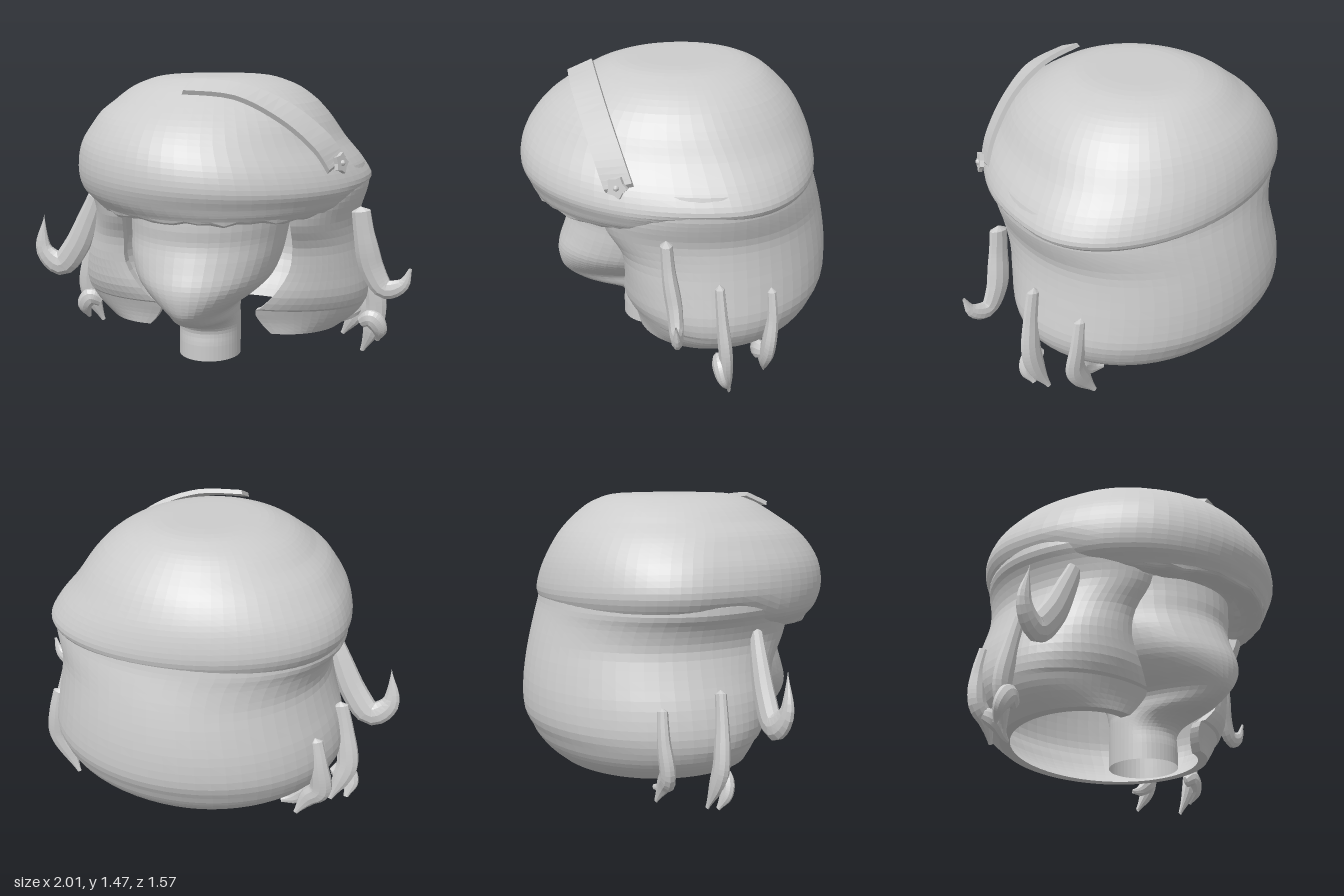
import * as THREE from 'three';

const grey = new THREE.MeshStandardMaterial({ color: 0xcccccc, side: THREE.DoubleSide });
grey.name = 'clay grey';

// Facet a geometry and wrap it in a named mesh
function part(name, geometry) {
  const g = geometry.index ? geometry.toNonIndexed() : geometry;
  g.computeVertexNormals();
  const mesh = new THREE.Mesh(g, grey);
  mesh.name = name;
  return mesh;
}

// Skin closed rings, listed from top to bottom
function loft(rings) {
  const pos = [], idx = [], n = rings[0].length;
  rings.forEach(r => r.forEach(p => pos.push(...p)));
  for (let i = 0; i < rings.length - 1; i++) {
    for (let j = 0; j < n; j++) {
      const k = (j + 1) % n;
      const a = i * n + j, b = i * n + k, c = a + n, d = b + n;
      idx.push(a, b, c, b, d, c);
    }
  }
  const g = new THREE.BufferGeometry();
  g.setAttribute('position', new THREE.Float32BufferAttribute(pos, 3));
  g.setIndex(idx);
  return g;
}

// Smoothly resample every column of a table of section values
function resample(rows, count) {
  const curves = rows[0].map((_, k) =>
    new THREE.SplineCurve(rows.map((r, i) => new THREE.Vector2(i, r[k]))));
  return Array.from({ length: count + 1 }, (_, i) => curves.map(c => c.getPoint(i / count).y));
}

// Egg-shaped ring with separate front and back depth; tuck draws in the sides and back
function eggRing([y, cx, hw, cz, zf, zb, tuck = 0], n, adjust = () => 0) {
  return Array.from({ length: n }, (_, j) => {
    const t = j / n * Math.PI * 2, s = Math.sin(t);
    const k = 1 - tuck * (1 - THREE.MathUtils.smoothstep(s, 0.1, 0.5));
    const x = cx + hw * Math.cos(t) * k;
    return [x, y + adjust(x, y, s), cz + s * k * (s > 0 ? zf - cz : cz - zb)];
  });
}

// One C-shaped hair section: outer wall, then inner wall back again
function curtainRing([y, cx, hw, zb, zf, xi], thickness, shrink = 0) {
  const z0 = -0.1, n = 64;
  const wall = off => Array.from({ length: n + 1 }, (_, j) => {
    const t = Math.PI / 2 + j / n * Math.PI * 2; // left tip, round the back, right tip
    const c = Math.cos(t), s = Math.sin(t), front = s > 0;
    const w = hw - off;
    const side = j < n / 2 ? -1 : 1;
    const x = front ? side * (xi + (w - xi) * Math.abs(c)) : w * c;
    const z = front ? z0 + (zf - off - z0) * s : z0 + (z0 - zb - off) * s;
    return [cx + x, y - 0.02 + 0.05 * (z + 0.4) * (y < 0.35 ? 1 : 0.4), z];
  });
  return [...wall(shrink), ...wall(thickness - shrink).reverse()];
}

// Tapered tube, slightly flattened front to back
function horn(name, points, radii) {
  const curve = new THREE.CatmullRomCurve3(points.map(p => new THREE.Vector3(...p)));
  const steps = 28, sides = 10;
  const g = new THREE.TubeGeometry(curve, steps, 1, sides);
  const taper = new THREE.SplineCurve(radii.map((r, i) => new THREE.Vector2(i, r)));
  const pos = g.attributes.position;
  for (let i = 0; i <= steps; i++) {
    const c = curve.getPointAt(i / steps);
    const r = i === 0 ? 0 : Math.max(0, taper.getPoint(i / steps).y);
    for (let j = 0; j <= sides; j++) {
      const v = i * (sides + 1) + j;
      pos.setXYZ(v, c.x + (pos.getX(v) - c.x) * r, c.y + (pos.getY(v) - c.y) * r,
        c.z + (pos.getZ(v) - c.z) * r * 0.6);
    }
  }
  return part(name, g);
}

export function createModel() {
  const model = new THREE.Group();
  model.name = 'hairBust';

  // Head and open-ended neck: y, centre x, half width, centre z, front, back
  const head = [
    [1.2, -0.02, 0.01, 0.1, 0.11, 0.09], [1.1, -0.02, 0.3, 0.1, 0.4, -0.2],
    [0.95, -0.02, 0.41, 0.1, 0.54, -0.35], [0.8, -0.02, 0.405, 0.1, 0.56, -0.38],
    [0.7, -0.025, 0.395, 0.12, 0.555, -0.36], [0.6, -0.03, 0.38, 0.14, 0.585, -0.3],
    [0.5, -0.03, 0.34, 0.16, 0.62, -0.22], [0.42, -0.03, 0.265, 0.16, 0.62, -0.14],
    [0.35, -0.03, 0.175, 0.14, 0.59, -0.09], [0.29, -0.03, 0.16, 0.12, 0.5, -0.07],
    [0.25, -0.03, 0.16, 0.11, 0.35, -0.06], [0.2, -0.03, 0.16, 0.11, 0.28, -0.06],
    [0.12, -0.03, 0.16, 0.11, 0.28, -0.06], [0.04, -0.03, 0.16, 0.11, 0.28, -0.06],
  ];
  model.add(part('headAndNeck', loft(resample(head, 52).map(r => eggRing(r, 48)))));

  // Crown of hair with an overhanging, ragged fringe; the last column is the tuck
  const crown = [
    [1.48, -0.03, 0, -0.02, -0.02, -0.02, 0], [1.478, -0.03, 0.24, -0.02, 0.25, -0.29, 0],
    [1.45, -0.03, 0.36, -0.03, 0.37, -0.4, 0], [1.4, -0.03, 0.46, -0.04, 0.47, -0.48, 0],
    [1.3, -0.03, 0.575, -0.06, 0.62, -0.58, 0], [1.2, -0.025, 0.65, -0.1, 0.715, -0.64, 0],
    [1.1, -0.01, 0.725, -0.13, 0.77, -0.675, 0], [1.0, 0, 0.76, -0.15, 0.784, -0.687, 0],
    [0.92, 0, 0.745, -0.15, 0.755, -0.69, 0.06], [0.87, 0.02, 0.695, -0.13, 0.73, -0.7, 0.07],
    [0.84, 0.02, 0.65, -0.1, 0.7, -0.7, 0.08], [0.845, 0.01, 0.58, -0.05, 0.6, -0.62, 0.08],
    [0.92, 0, 0.4, 0, 0.48, -0.4, 0],
  ];
  const lean = (x, y, s) => {
    const skew = y > 0.87 && y < 1.35 ? -0.06 * x * Math.sin((y - 0.87) / 0.48 * Math.PI) : 0;
    const ragged = y < 0.86 && s > 0.5 ? 0.012 * Math.sin(x * 41) * Math.sin(x * 17 + 1) : 0;
    return skew + ragged;
  };
  model.add(part('crownHair', loft(resample(crown, 48).map(r => eggRing(r, 72, lean)))));

  // Long hair flowing from the crown round the back, curling into two front locks:
  // y, centre x, half width, back, front, inner tip x
  const curtain = [
    [1.06, 0, 0.725, -0.67, 0.38, 0.42], [0.97, 0.005, 0.748, -0.685, 0.4, 0.42],
    [0.9, 0.02, 0.72, -0.705, 0.42, 0.42],
    [0.8, 0.02, 0.692, -0.735, 0.4, 0.42], [0.68, 0.01, 0.712, -0.763, 0.33, 0.43],
    [0.55, 0, 0.747, -0.78, 0.31, 0.42], [0.42, 0, 0.77, -0.775, 0.31, 0.34],
    [0.32, 0, 0.75, -0.725, 0.28, 0.25], [0.25, 0, 0.7, -0.675, 0.25, 0.27],
    [0.19, 0, 0.62, -0.61, 0.23, 0.32],
  ];
  const curtainRings = resample(curtain, 27).map(r => curtainRing(r, 0.05));
  curtainRings.push(curtainRing(curtain[curtain.length - 1], 0.05, 0.025));
  model.add(part('longHair', loft(curtainRings)));

  // Hooked horn-like strands in front of the ears
  model.add(horn('leftHookStrand', [[0.74, 0.86, 0.15], [0.765, 0.7, 0.14], [0.805, 0.54, 0.12],
    [0.87, 0.445, 0.12], [0.955, 0.475, 0.13], [0.99, 0.56, 0.14]],
  [0.047, 0.052, 0.062, 0.058, 0.042, 0.008]));
  model.add(horn('rightHookStrand', [[-0.63, 0.87, 0.14], [-0.69, 0.73, 0.13], [-0.775, 0.56, 0.12],
    [-0.87, 0.46, 0.11], [-0.96, 0.53, 0.12], [-0.95, 0.73, 0.13]],
  [0.045, 0.06, 0.07, 0.068, 0.04, 0]));

  // Smaller curled strands further back, each with a side prong
  for (const [label, m, lift] of [['left', 1, 0], ['right', -1, 0.05]]) {
    model.add(horn(label + 'MiddleStrand', [[m * 0.745, 0.62, -0.095], [m * 0.785, 0.45, -0.105],
      [m * 0.81, 0.28, -0.12], [m * 0.79, 0.15 + lift, -0.13], [m * 0.74, 0.02 + lift, -0.155]],
    [0.038, 0.045, 0.055, 0.05, 0.012]));
    model.add(horn(label + 'MiddleProng', [[m * 0.73, 0.19, -0.11], [m * 0.79, 0.22, -0.09],
      [m * 0.83, 0.17, -0.1], [m * 0.82, 0.09, -0.14]], [0.03, 0.05, 0.04, 0.012]));
    model.add(horn(label + 'RearStrand', [[m * 0.685, 0.55, -0.355], [m * 0.715, 0.4, -0.36],
      [m * 0.725, 0.25, -0.345], [m * 0.67, 0.14 + lift, -0.34], [m * 0.61, 0.04 + lift, -0.355]],
    [0.038, 0.045, 0.055, 0.05, 0.012]));
    model.add(horn(label + 'RearProng', [[m * 0.72, 0.21, -0.34], [m * 0.65, 0.19, -0.31],
      [m * 0.58, 0.14, -0.315], [m * 0.525, 0.125, -0.33]], [0.03, 0.05, 0.035, 0.012]));
  }

  // Hair band: front edge and back edge, with a little thickness
  const frontEdge = [[-0.04, 1.43, 0.53], [0.2, 1.41, 0.522], [0.4, 1.31, 0.487], [0.55, 1.18, 0.445], [0.62, 1.07, 0.41]];
  const backEdge = [[-0.04, 1.48, 0.41], [0.2, 1.46, 0.4], [0.42, 1.375, 0.372], [0.59, 1.24, 0.328], [0.68, 1.12, 0.29]];
  const inner = p => [p[0] - 0.01, p[1] - 0.02, p[2] - 0.01];
  const f = resample(frontEdge, 20), b = resample(backEdge, 20);
  const bandRings = f.map((p, i) => [b[i], p, inner(p), inner(b[i])]);
  const flat = r => { // collapse a section to close the end
    const c = [0, 1, 2].map(k => (r[0][k] + r[2][k]) / 2);
    return r.map(() => c);
  };
  bandRings.unshift(flat(bandRings[0]));
  bandRings.push(flat(bandRings[bandRings.length - 1]));
  model.add(part('hairBand', loft(bandRings)));

  // Small star and button at the end of the band
  const clip = new THREE.Group();
  clip.name = 'bandStar';
  const star = new THREE.Shape();
  for (let i = 0; i < 10; i++) {
    const a = i / 10 * Math.PI * 2, r = i % 2 ? 0.036 : 0.052;
    star[i ? 'lineTo' : 'moveTo'](r * Math.cos(a), r * Math.sin(a));
  }
  clip.add(part('star', new THREE.ExtrudeGeometry(star, { depth: 0.02, bevelEnabled: false })));
  const button = part('button', new THREE.SphereGeometry(0.014, 10, 6));
  button.position.z = 0.02;
  clip.add(button);
  clip.position.set(0.655, 1.095, 0.35);
  clip.lookAt(1.45, 1.25, 0.75);
  model.add(clip);

  return model;
}
